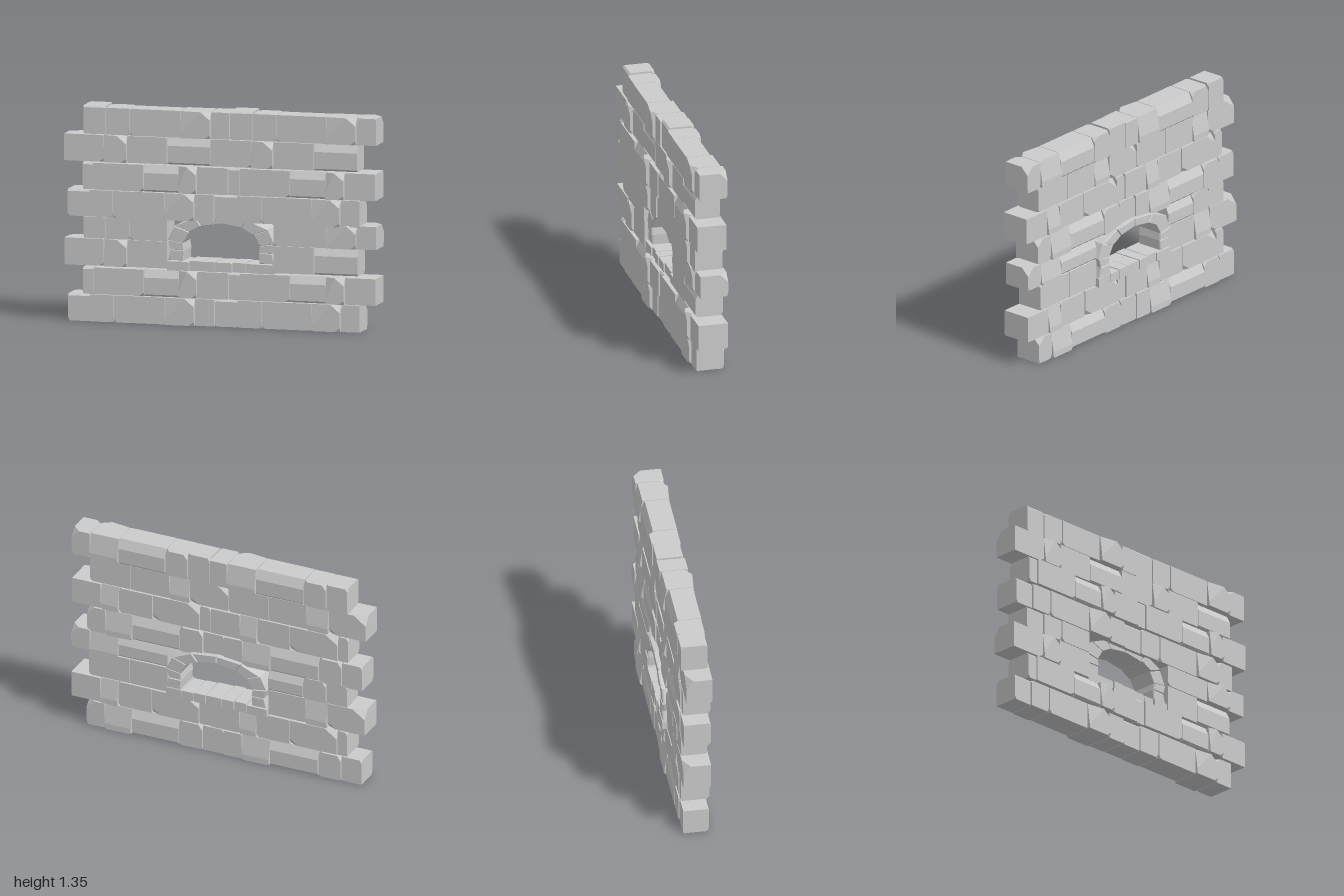
import * as THREE from 'three';
import { ConvexGeometry } from 'three/addons/geometries/ConvexGeometry.js';

const material = new THREE.MeshStandardMaterial({ color: 0xcccccc, flatShading: true });

// Small seeded generator for hand-hewn variation
let seed = 11;
const rand = () => (seed = (seed * 16807) % 2147483647) / 2147483647;

// Cuts per stone kind: [x side, y side, z side, cut along x, y, z]; side 0 means both
const KINDS = {
  small: [[0, 1, 1, 0, 0.012, 0.012], [0, 1, -1, 0.012, 0.02, 0.02], [-1, -1, 1, 0.012, 0.02, 0.02]],
  rough: [[0, 1, -1, 0.025, 0.035, 0.028], [-1, 1, 1, 0.015, 0.015, 0.015], [1, -1, 1, 0.02, 0.03, 0.015], [0, -1, -1, 0.012, 0.02, 0.012]],
  backBevel: [[0, 1, -1, 0, 0.06, 0.028], [0, -1, -1, 0, 0.012, 0.012], [-1, -1, 1, 0.02, 0.02, 0.015]],
  frontBevel: [[0, 1, 1, 0, 0.05, 0.026], [0, -1, 1, 0, 0.012, 0.012], [1, 0, -1, 0.015, 0.02, 0.015]],
  cornerCut: [[1, 1, 1, 0.06, 0.05, 0.04], [-1, 1, 1, 0, 0.14, 0.018], [1, -1, 1, 0.035, 0.025, 0.015], [0, 1, -1, 0, 0.13, 0.022], [0, -1, -1, 0.01, 0.015, 0.012]],
  backCut: [[-1, 1, -1, 0.08, 0.06, 0.045], [1, -1, -1, 0.06, 0.04, 0.025], [1, -1, 1, 0.03, 0.02, 0.02]],
  plain: [[0, 0, 0, 0.006, 0.006, 0.006]],
  end: [[1, 1, -1, 0.05, 0.05, 0.05], [-1, 1, 1, 0.03, 0.03, 0.03], [0, -1, -1, 0.012, 0.03, 0.012]],
};

// Convex block with each corner trimmed by the cuts of its kind
function stone(name, x0, x1, y0, y1, z0, z1, kind) {
  const points = [];
  for (const sx of [-1, 1]) for (const sy of [-1, 1]) for (const sz of [-1, 1]) {
    const rule = KINDS[kind].find(([a, b, c]) => (!a || a === sx) && (!b || b === sy) && (!c || c === sz));
    const cut = rule ? rule.slice(3) : [0.005, 0.005, 0.005];
    const corner = [sx < 0 ? x0 : x1, sy < 0 ? y0 : y1, sz < 0 ? z0 : z1];
    [sx, sy, sz].forEach((s, axis) => {
      if (!cut[axis]) return;
      const p = [...corner];
      p[axis] -= s * cut[axis];
      points.push(new THREE.Vector3(...p));
    });
  }
  const mesh = new THREE.Mesh(new ConvexGeometry(points), material);
  mesh.name = name;
  return mesh;
}

// Bond patterns: stone kinds from the wall's right end to its left end
const BOND_A = ['small', 'rough', 'backBevel', 'cornerCut', 'plain', 'small', 'rough', 'backBevel', 'cornerCut', 'end'];
const BOND_B = ['small', 'backCut', 'frontBevel', 'cornerCut', 'plain', 'small', 'backCut', 'frontBevel', 'cornerCut', 'plain'];
const BOND_C = ['backCut', 'cornerCut', 'plain', 'frontBevel', 'backCut', 'cornerCut', 'plain', 'frontBevel'];
const JOINTS_A = [-0.98, -0.84, -0.685, -0.355, -0.165, -0.04, 0.105, 0.265, 0.585, 0.77, 0.895];
const JOINTS_B = [-0.88, -0.81, -0.485, -0.262, -0.145, 0.055, 0.13, 0.45, 0.68, 0.8, 1];
const JOINTS_C = [-1, -0.745, -0.597, -0.34, -0.063, 0.2, 0.34, 0.6, 0.88];
const JOINTS_D = [-0.88, -0.735, -0.58, -0.255, -0.06, 0.058, 0.208, 0.36, 0.68, 0.872, 1];

// Courses: bottom, top, joints, bond, front z, back z, broken by the window
const COURSES = [
  [0, 0.168, JOINTS_A, BOND_A, 0.078, -0.094, false],
  [0.174, 0.34, JOINTS_B, BOND_B, 0.096, -0.088, false],
  [0.35, 0.518, JOINTS_C, BOND_C, 0.078, -0.086, true],
  [0.52, 0.664, JOINTS_D, BOND_A, 0.081, -0.09, true],
  [0.656, 0.822, JOINTS_A, BOND_A, 0.089, -0.086, false],
  [0.828, 0.995, JOINTS_B, BOND_B, 0.103, -0.078, false],
  [1.001, 1.168, JOINTS_C, BOND_C, 0.086, -0.071, false],
  [1.171, 1.338, JOINTS_D, BOND_A, 0.085, -0.088, false],
];

// Voussoir: convex wedge between two inner and two outer points
function wedge(name, quad, z0, z1) {
  const cx = quad.reduce((s, p) => s + p[0], 0) / 4, cy = quad.reduce((s, p) => s + p[1], 0) / 4;
  const points = [];
  for (const [x, y] of quad) {
    for (const [z, k] of [[z0, 0.92], [z0 + 0.008, 0.995], [z1 - 0.008, 0.995], [z1, 0.92]]) {
      points.push(new THREE.Vector3(cx + (x - cx) * k, cy + (y - cy) * k, z));
    }
  }
  const mesh = new THREE.Mesh(new ConvexGeometry(points), material);
  mesh.name = name;
  return mesh;
}

export function createModel() {
  const wall = new THREE.Group();
  wall.name = 'stoneWall';

  // Stacked courses
  COURSES.forEach(([y0, y1, joints, bond, front, back, broken], row) => {
    const course = new THREE.Group();
    course.name = `course${row + 1}`;
    bond.forEach((kind, i) => {
      let [x0, x1] = [joints[i] + 0.002, joints[i + 1] - 0.002];
      if (broken) {
        // Stones beside the opening reach its jambs; those inside it are left out
        if (x0 > -0.345 && x1 < 0.365) return;
        if (i === 2) x1 = -0.342;
        if (x0 > 0 && x0 < 0.37) x0 = 0.342;
      }
      const bulge = kind === 'cornerCut' ? 0.017 : kind === 'small' ? -0.008 : 0;
      const lift = row === 7 && kind === 'small' ? 0.01 : 0;
      course.add(stone('courseStone', x0, x1, y0, y1 + lift,
        back - bulge * 0.6 - rand() * 0.005, front + bulge + rand() * 0.005, kind));
    });
    wall.add(course);
  });

  // Window surround: jambs and arch, mirrored about x = 0
  const inner = [[-0.242, 0.4], [-0.238, 0.465], [-0.245, 0.51], [-0.205, 0.58], [-0.13, 0.62], [0, 0.64]];
  const outer = [[-0.342, 0.4], [-0.325, 0.465], [-0.342, 0.525], [-0.3, 0.615], [-0.17, 0.67], [0, 0.688]];
  const surround = new THREE.Group();
  surround.name = 'windowArch';
  for (const side of [1, -1]) {
    for (let i = 0; i < inner.length - 1; i++) {
      const quad = [inner[i], inner[i + 1], outer[i + 1], outer[i]].map(([x, y]) => [x * side, y]);
      surround.add(wedge('archStone', quad, -0.111 - rand() * 0.009, 0.055 + rand() * 0.015));
    }
  }
  wall.add(surround);

  // Window sill stones
  const sill = new THREE.Group();
  sill.name = 'windowSill';
  const sillJoints = [-0.345, -0.205, -0.12, -0.038, 0.072, 0.155, 0.235, 0.345];
  for (let i = 0; i < sillJoints.length - 1; i++) {
    sill.add(stone('sillStone', sillJoints[i] + 0.002, sillJoints[i + 1] - 0.002, 0.338, 0.404 - rand() * 0.01,
      -0.11 - rand() * 0.01, 0.062 + rand() * 0.02, 'plain'));
  }
  wall.add(sill);
  return wall;
}
